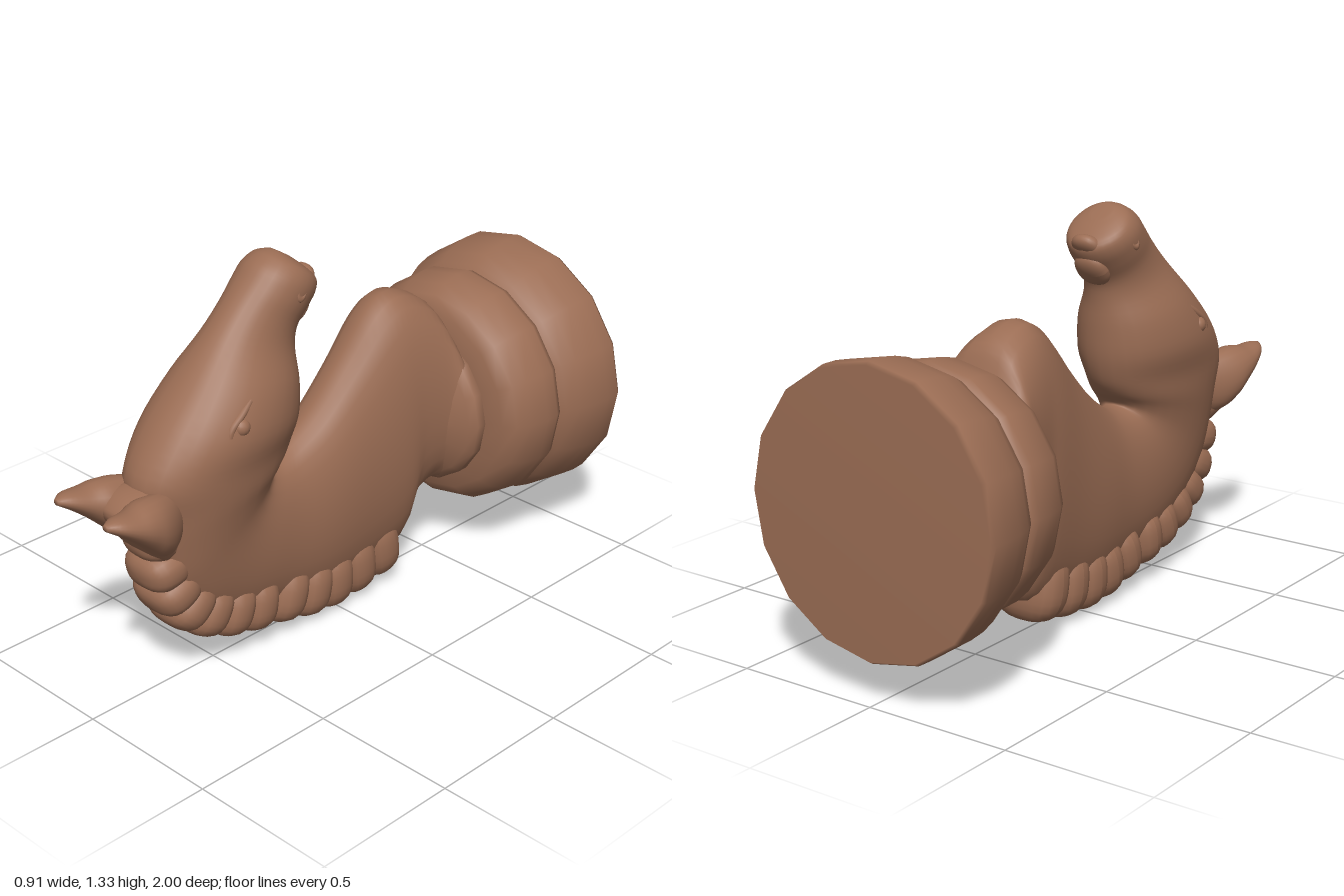
import * as THREE from 'three';

// Smooth closed loft through rows of [az, ay, bz, by, halfWidth, centreX];
// power shapes the cross-section (below 1 is boxier) and runs from start to end
function loft(rows, side = 1, powers = [1, 1], around = 28, steps = 4) {
  const curve = (f) => new THREE.CatmullRomCurve3(rows.map(f), false, 'catmullrom', 0.5);
  const a = curve((r) => new THREE.Vector3(r[4], r[1], r[0]));
  const b = curve((r) => new THREE.Vector3(r[5] || 0, r[3], r[2]));
  const n = (rows.length - 1) * steps;
  const pos = [], index = [];
  for (let i = 0; i <= n; i++) {
    const p = a.getPoint(i / n), q = b.getPoint(i / n);
    const power = THREE.MathUtils.lerp(powers[0], powers[1], i / n);
    for (let j = 0; j < around; j++) {
      const t = (j / around) * Math.PI * 2;
      const k = (1 + Math.cos(t)) / 2, s = Math.sin(t);
      pos.push(
        q.x * side + Math.sign(s) * Math.pow(Math.abs(s), power) * p.x,
        p.y + (q.y - p.y) * k,
        p.z + (q.z - p.z) * k
      );
      if (i < n) {
        const c = i * around + j, d = i * around + ((j + 1) % around);
        index.push(c, d, c + around, d, d + around, c + around);
      }
    }
  }
  // Close both ends
  for (const [t, ring] of [[0, 0], [1, n * around]]) {
    const p = a.getPoint(t), q = b.getPoint(t), tip = pos.length / 3;
    pos.push(q.x * side, (p.y + q.y) / 2, (p.z + q.z) / 2);
    for (let j = 0; j < around; j++) {
      const c = ring + j, d = ring + ((j + 1) % around);
      if (t) index.push(c, d, tip);
      else index.push(d, c, tip);
    }
  }
  const g = new THREE.BufferGeometry();
  g.setAttribute('position', new THREE.Float32BufferAttribute(pos, 3));
  g.setIndex(index);
  g.computeVertexNormals();
  return g;
}

// Rounded lump between a ball and a box
function lump(x, y, z, power) {
  const g = new THREE.SphereGeometry(1, 24, 16), p = g.attributes.position;
  for (let i = 0; i < p.count; i++) {
    const v = new THREE.Vector3().fromBufferAttribute(p, i);
    const norm = ['x', 'y', 'z'].reduce((sum, k) => sum + Math.pow(Math.abs(v[k]), power), 0);
    v.multiplyScalar(Math.pow(norm, -1 / power));
    p.setXYZ(i, v.x * x, v.y * y, v.z * z);
  }
  g.computeVertexNormals();
  return g;
}

export function createModel() {
  const model = new THREE.Group();
  const brown = new THREE.MeshStandardMaterial({ color: 0x9b6d54 });
  brown.name = 'brown';
  const add = (name, geometry, x = 0, y = 0, z = 0) => {
    const m = new THREE.Mesh(geometry, brown);
    m.name = name;
    m.position.set(x, y, z);
    model.add(m);
    return m;
  };

  // Turned base lying along z, profiles are [radius, z]
  const turned = (name, profile) => {
    const pts = profile.map(([r, z]) => new THREE.Vector2(r, z + 0.99));
    const g = new THREE.LatheGeometry(pts, 16, Math.PI / 2);
    g.rotateX(Math.PI / 2 + 0.02);
    add(name, g, 0, 0.59, -0.987);
  };
  turned('baseRing', [[0, -0.99], [0.447, -0.99], [0.456, -0.975], [0.457, -0.92], [0.45, -0.86],
    [0.435, -0.8], [0.41, -0.755], [0.38, -0.735], [0.37, -0.72]]);
  turned('upperRing', [[0.37, -0.745], [0.398, -0.735], [0.408, -0.71], [0.409, -0.66], [0.395, -0.59],
    [0.37, -0.545], [0.33, -0.515], [0.25, -0.505], [0.2, -0.5]]);
  turned('collar', [[0.22, -0.54], [0.255, -0.51], [0.275, -0.495], [0.275, -0.46], [0.25, -0.44],
    [0.21, -0.42], [0.15, -0.39]]);

  // Neck and head, swept from the chest around the throat to the muzzle
  const body = [
    [-0.51, 0.81, -0.51, 0.33, 0.22], [-0.47, 0.9, -0.47, 0.31, 0.23],
    [-0.42, 0.99, -0.42, 0.31, 0.195], [-0.3, 1.04, -0.35, 0.25, 0.17],
    [-0.2, 1.0, -0.3, 0.12, 0.165], [-0.08, 0.87, -0.14, 0.08, 0.15],
    [0.05, 0.74, 0.05, 0.07, 0.14], [0.15, 0.67, 0.25, 0.1, 0.125],
    [0.21, 0.645, 0.45, 0.14, 0.125], [0.25, 0.64, 0.62, 0.23, 0.13],
    [0.26, 0.645, 0.72, 0.36, 0.14], [0.25, 0.66, 0.76, 0.5, 0.155],
    [0.22, 0.69, 0.78, 0.62, 0.17], [0.19, 0.74, 0.8, 0.74, 0.18],
    [0.17, 0.82, 0.72, 0.87, 0.197], [0.165, 0.92, 0.6, 1.0, 0.175],
    [0.165, 1.01, 0.48, 1.12, 0.125], [0.155, 1.07, 0.4, 1.2, 0.112],
    [0.12, 1.12, 0.34, 1.26, 0.119], [0.085, 1.165, 0.3, 1.3, 0.12],
    [0.075, 1.205, 0.26, 1.322, 0.105], [0.11, 1.25, 0.235, 1.328, 0.075],
    [0.15, 1.287, 0.21, 1.328, 0.035],
  ];
  add('neckAndHead', loft(body, 1, [0.8, 1]));

  // Lips at the tip of the jaw
  add('upperLip', lump(0.055, 0.03, 0.06, 2.3), 0, 1.198, 0.112).rotation.x = 0.7;
  add('lowerLip', lump(0.06, 0.035, 0.065, 2.3), 0, 1.125, 0.135).rotation.x = 0.9;

  // Scalloped mane tufts along the crest
  const crest = new THREE.CatmullRomCurve3(
    [[-0.225, 0.03], [-0.1, 0.01], [0.05, 0.003], [0.17, 0.02], [0.29, 0.05], [0.42, 0.072],
      [0.55, 0.115], [0.66, 0.18], [0.74, 0.27], [0.785, 0.37], [0.805, 0.47], [0.81, 0.54]]
      .map(([z, y]) => new THREE.Vector3(0, y, z))
  );
  const count = 12;
  for (let i = 0; i < count; i++) {
    const u = i / (count - 1);
    const p = crest.getPointAt(u), t = crest.getTangentAt(u);
    const depth = 0.13 - 0.05 * u;
    const m = add('maneTuft', lump(0.128 - 0.032 * u * u, depth, 0.082 - 0.015 * u, 2.7),
      0, p.y + t.z * depth, p.z - t.y * depth);
    m.rotation.x = -Math.atan2(t.y, t.z);
  }

  // Crown of the head joining the ears
  add('poll', loft([
    [0.66, 0.72, 0.66, 0.44, 0.08], [0.74, 0.735, 0.74, 0.46, 0.115], [0.8, 0.732, 0.79, 0.51, 0.145],
    [0.85, 0.715, 0.83, 0.565, 0.13], [0.885, 0.685, 0.86, 0.61, 0.08], [0.89, 0.66, 0.88, 0.635, 0.02],
  ], 1, [0.9, 0.9]));

  // Paired ears, eyes, lids and nostrils
  const ear = [
    [0.66, 0.7, 0.66, 0.55, 0.03, 0.05], [0.74, 0.725, 0.74, 0.52, 0.065, 0.075],
    [0.8, 0.738, 0.8, 0.54, 0.08, 0.09], [0.85, 0.74, 0.85, 0.585, 0.08, 0.097],
    [0.9, 0.733, 0.9, 0.632, 0.064, 0.108], [0.96, 0.735, 0.96, 0.68, 0.042, 0.113],
    [1.0, 0.728, 1.0, 0.708, 0.012, 0.112],
  ];
  for (const s of [1, -1]) {
    const tag = s > 0 ? 'left' : 'right';
    add(tag + 'Ear', loft(ear, s, [1, 1], 20));
    add(tag + 'Eye', new THREE.SphereGeometry(0.03, 16, 12), s * 0.164, 0.89, 0.51);
    const lid = (pts) => new THREE.TubeGeometry(
      new THREE.CatmullRomCurve3(pts.map(([x, y, z]) => new THREE.Vector3(s * x, y, z))), 14, 0.012, 8);
    add(tag + 'Brow', lid([[0.164, 0.82, 0.56], [0.166, 0.89, 0.55], [0.166, 0.93, 0.505], [0.15, 0.975, 0.44]]));
    add(tag + 'LowerLid', lid([[0.164, 0.82, 0.56], [0.176, 0.85, 0.51], [0.172, 0.89, 0.475], [0.15, 0.975, 0.44]]));
    const nostril = new THREE.TorusGeometry(0.023, 0.01, 8, 18);
    nostril.scale(0.75, 1.3, 1);
    nostril.rotateY(Math.PI / 2);
    add(tag + 'Nostril', nostril, s * 0.107, 1.225, 0.2).rotation.set(-0.4, 0, s * 0.25);
  }
  return model;
}
